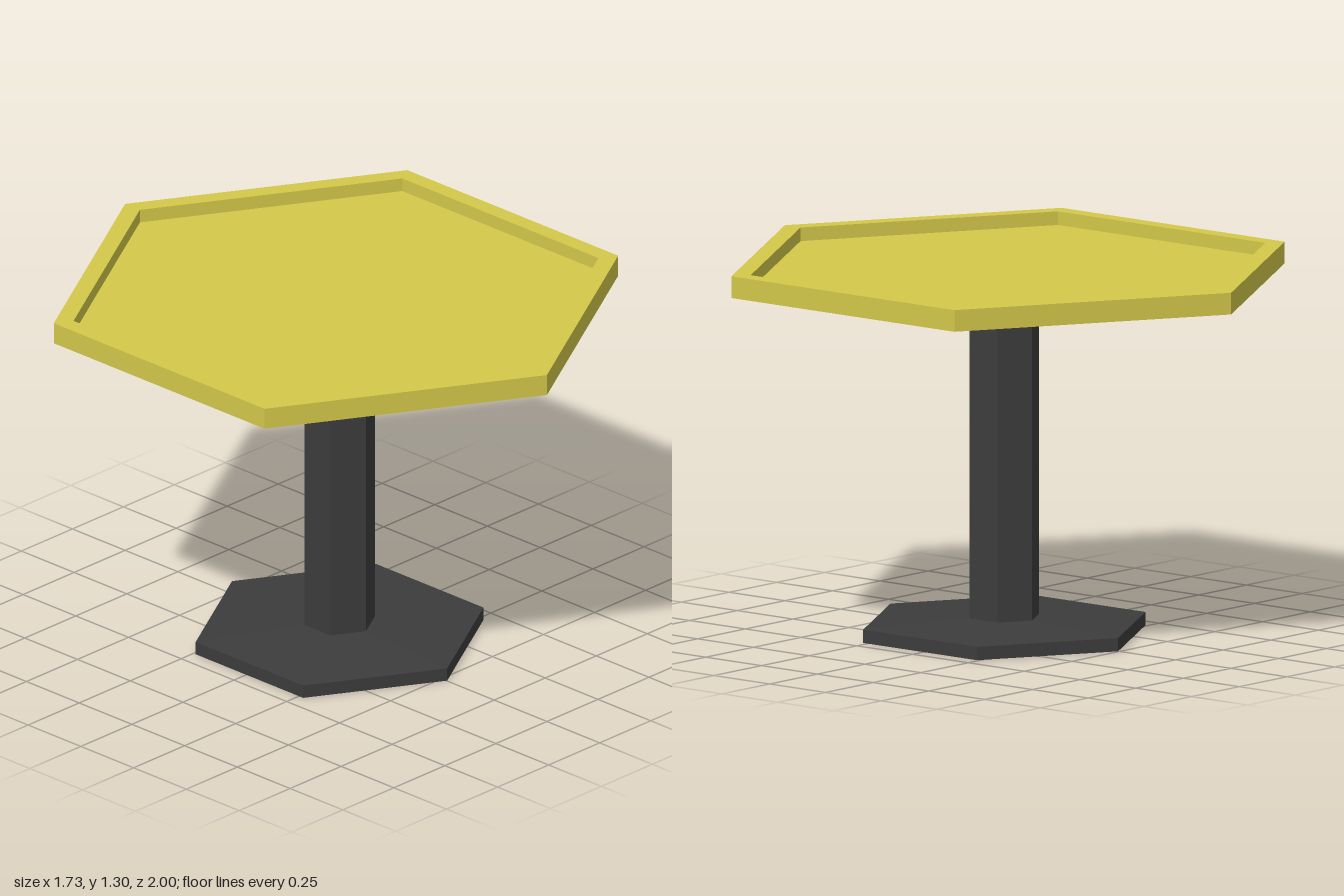
import * as THREE from 'three';

// Six-sided solid turned from a [radius, height] profile, corners on the z axis
function hexSolid(name, profile, material) {
  const points = profile.map(([r, y]) => new THREE.Vector2(r, y));
  const mesh = new THREE.Mesh(new THREE.LatheGeometry(points, 6), material);
  mesh.name = name;
  return mesh;
}

export function createModel() {
  const yellow = new THREE.MeshStandardMaterial({ color: 0xd3c84a, flatShading: true });
  const dark = new THREE.MeshStandardMaterial({ color: 0x3c3c3c, flatShading: true });
  const table = new THREE.Group();
  table.name = 'hexagonalTable';

  // Tray top: flat underside, raised rim and sunken surface
  const top = hexSolid('tableTop', [
    [0, 1.225], [1, 1.225], [1, 1.3], [0.93, 1.3], [0.93, 1.253], [0, 1.253],
  ], yellow);

  // Pedestal sits slightly forward of the top's centre
  const pedestal = new THREE.Group();
  pedestal.name = 'pedestal';
  pedestal.position.set(0.002, 0, 0.015);
  pedestal.add(
    // Foot with a gently sloping upper face
    hexSolid('foot', [[0, 0], [0.51, 0], [0.51, 0.046], [0.125, 0.062], [0, 0.062]], dark),
    hexSolid('column', [[0.125, 0.055], [0.125, 1.226]], dark),
  );

  table.add(top, pedestal);
  return table;
}
